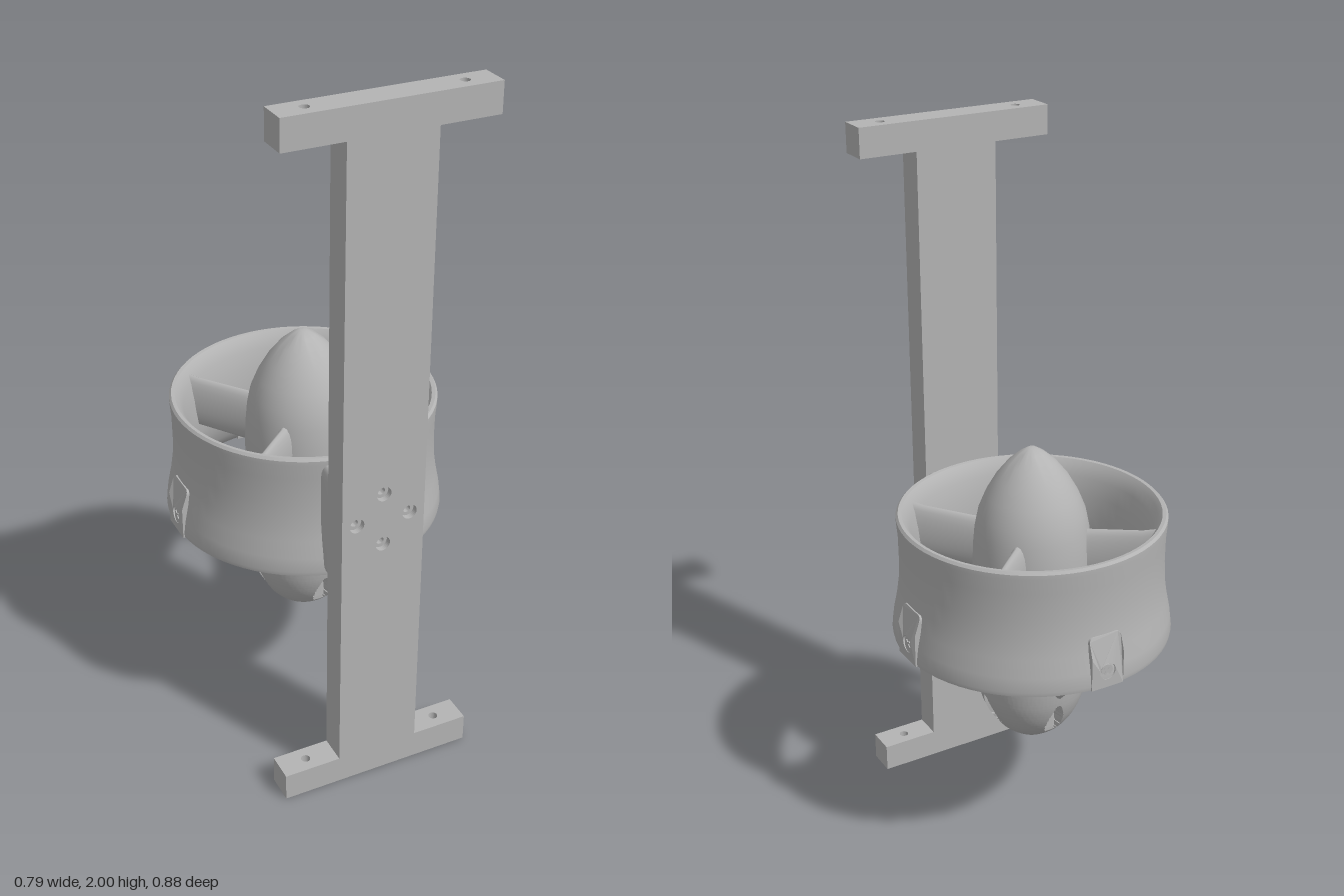
import * as THREE from 'three';
import { toCreasedNormals } from 'three/addons/utils/BufferGeometryUtils.js';

const AXIS_Z = -0.045; // thruster axis position

const metal = new THREE.MeshStandardMaterial({ color: 0xb4b4b4 });
metal.name = 'grey metal';

function add(parent, name, geometry) {
  const mesh = new THREE.Mesh(geometry, metal);
  mesh.name = name;
  parent.add(mesh);
  return mesh;
}

function circleHole(shape, x, y, r) {
  const hole = new THREE.Path();
  hole.absarc(x, y, r, 0, Math.PI * 2, true);
  shape.holes.push(hole);
}

function rectShape(x0, y0, x1, y1) {
  return new THREE.Shape([[x0, y0], [x1, y0], [x1, y1], [x0, y1]].map(p => new THREE.Vector2(...p)));
}

function extrude(shape, depth) {
  return new THREE.ExtrudeGeometry(shape, { depth, bevelEnabled: false, curveSegments: 16 });
}

function lathe(points, segments, crease = 0.6) {
  const g = new THREE.LatheGeometry(points.map(p => new THREE.Vector2(...p)), segments);
  return toCreasedNormals(g, crease);
}

// Streamlined bar: elliptical sections lofted outward from the hub.
// Each section: centre (r, y), upward chord direction, half chord, half thickness.
function foil(dir, sections) {
  const n = 20, pos = [], idx = [];
  for (const [r, y, chord, thick] of sections) {
    for (let i = 0; i < n; i++) {
      const a = (i / n) * Math.PI * 2;
      const c = Math.cos(a) * chord;
      pos.push(r + dir[0] * c, y + dir[1] * c, Math.sin(a) * thick);
    }
  }
  for (let k = 0; k < sections.length - 1; k++) {
    for (let i = 0; i < n; i++) {
      const a = k * n + i, b = k * n + (i + 1) % n;
      idx.push(a, b, a + n, b, b + n, a + n);
    }
  }
  const g = new THREE.BufferGeometry();
  g.setAttribute('position', new THREE.Float32BufferAttribute(pos, 3));
  g.setIndex(idx);
  g.computeVertexNormals();
  return g;
}

function makeBracket() {
  const bracket = new THREE.Group();
  bracket.name = 'mountingBracket';
  const bolts = [[0, 0.94], [0, 0.785], [0.077, 0.863], [-0.077, 0.863]];

  // upright plate with four bolt holes
  const web = rectShape(-0.12, 0.082, 0.12, 1.918);
  bolts.forEach(([x, y]) => circleHole(web, x, y, 0.021));
  add(bracket, 'uprightPlate', extrude(web, 0.082)).position.z = 0.355;

  // countersunk bolt heads with sockets
  const head = lathe([[0.011, 0], [0.021, 0], [0.021, 0.055], [0.011, 0.055], [0.011, 0]], 20);
  const socket = new THREE.CylinderGeometry(0.011, 0.011, 0.03, 6);
  for (const [x, y] of bolts) {
    for (const [name, g, z] of [['boltHead', head, 0.365], ['boltSocket', socket, 0.39]]) {
      const m = add(bracket, name, g);
      m.rotation.x = Math.PI / 2;
      m.position.set(x, y, z);
    }
  }

  // end bars with two through holes each
  const bar = rectShape(-0.285, -0.437, 0.285, -0.355);
  [-0.205, 0.205].forEach(x => circleHole(bar, x, -0.395, 0.013));
  const barGeo = extrude(bar, 0.082);
  barGeo.rotateX(-Math.PI / 2);
  add(bracket, 'bottomBar', barGeo);
  add(bracket, 'topBar', barGeo).position.y = 1.918;
  return bracket;
}

// Rounded lower pod with four teardrop access pockets
function makePodGeometry() {
  const ctrl = [[0, 0.274], [0.022, 0.282], [0.058, 0.304], [0.098, 0.337], [0.128, 0.38], [0.148, 0.43], [0.158, 0.48], [0.163, 0.54], [0.164, 0.612]];
  const curve = new THREE.CatmullRomCurve3(ctrl.map(p => new THREE.Vector3(p[0], p[1], 0)));
  const profile = curve.getPoints(90).map(p => new THREE.Vector2(Math.max(p.x, 0), p.y));
  const g = new THREE.LatheGeometry(profile, 256);
  const p = g.attributes.position;
  for (let i = 0; i < p.count; i++) {
    const x = p.getX(i), y = p.getY(i), z = p.getZ(i), r = Math.hypot(x, z);
    const side = Math.min(Math.abs(x), Math.abs(z)), t = (y - 0.335) / 0.115;
    if (t > 0 && t < 1 && side < 0.026 * Math.sqrt(Math.sin(Math.PI * t)) * (1.2 - 0.6 * t)) {
      const s = Math.min(r, 0.1) / r;
      p.setXYZ(i, x * s, y, z * s);
    }
  }
  return toCreasedNormals(g, 0.5);
}

// Outer tab with a screw hole, its upper end sloping back into the duct
function makeTabGeometry() {
  const shape = new THREE.Shape();
  shape.moveTo(-0.049, 0.647).lineTo(0.049, 0.647).lineTo(0.049, 0.74).lineTo(0.049, 0.78);
  shape.quadraticCurveTo(0.049, 0.797, 0.035, 0.797);
  shape.lineTo(-0.035, 0.797).quadraticCurveTo(-0.049, 0.797, -0.049, 0.78).lineTo(-0.049, 0.74);
  circleHole(shape, 0, 0.695, 0.024);
  const g = extrude(shape, 0.029);
  const p = g.attributes.position;
  for (let i = 0; i < p.count; i++) {
    if (p.getZ(i) > 0.02) p.setZ(i, 0.029 - Math.max(0, p.getY(i) - 0.74) * 0.33);
  }
  g.rotateY(Math.PI / 2);
  g.computeVertexNormals();
  return g;
}

function makeThruster() {
  const thruster = new THREE.Group();
  thruster.name = 'thruster';
  thruster.position.z = AXIS_Z;

  // duct with flared inlet and outlet
  add(thruster, 'duct', lathe([
    [0.381, 0.645], [0.391, 0.648], [0.393, 0.66], [0.388, 0.7], [0.378, 0.75], [0.371, 0.8], [0.368, 0.86],
    [0.369, 0.94], [0.373, 0.985], [0.373, 0.998], [0.367, 1.005], [0.357, 1.004], [0.346, 0.99], [0.334, 0.96],
    [0.324, 0.91], [0.318, 0.85], [0.318, 0.79], [0.328, 0.74], [0.347, 0.69], [0.372, 0.65], [0.381, 0.645],
  ], 72));

  // hub: lower pod and pointed nose, with a fine joint between them
  add(thruster, 'hubPod', makePodGeometry());
  add(thruster, 'hubNose', lathe([[0.162, 0.611], [0.165, 0.614], [0.165, 0.84], [0.163, 0.9], [0.158, 0.955], [0.148, 1.005],
    [0.128, 1.055], [0.1, 1.104], [0.066, 1.147], [0.034, 1.175], [0.01, 1.19], [0, 1.191]], 48));

  // upright guide vanes between the hub and the inlet
  const vane = foil([0, 1], [
    [0.13, 0.88, 0.085, 0.031], [0.168, 0.885, 0.08, 0.024], [0.31, 0.9, 0.078, 0.017], [0.352, 0.908, 0.08, 0.02],
  ]);
  // slanted struts from the pod up to the outlet
  const strut = foil([-Math.SQRT1_2, Math.SQRT1_2], [
    [0.11, 0.495, 0.047, 0.028], [0.17, 0.555, 0.043, 0.025], [0.3, 0.685, 0.038, 0.018], [0.345, 0.73, 0.03, 0.018],
  ]);

  // tab screw with a cross on its head
  const tab = makeTabGeometry();
  const screw = new THREE.CylinderGeometry(0.018, 0.02, 0.03, 20);
  screw.rotateZ(-Math.PI / 2);
  const cross = new THREE.BoxGeometry(0.004, 0.026, 0.006);

  for (let i = 0; i < 4; i++) {
    const arm = new THREE.Group();
    arm.name = 'arm' + (i + 1);
    arm.rotation.y = i * Math.PI / 2;
    thruster.add(arm);
    add(arm, 'strut', strut);
    add(arm, 'guideVane', vane).rotation.y = Math.PI / 4;
    if (i === 3) continue; // the front arm meets the mounting pad instead
    add(arm, 'strutTab', tab).position.x = 0.364;
    add(arm, 'tabScrew', screw).position.set(0.374, 0.695, 0);
    for (const a of [Math.PI / 4, -Math.PI / 4]) {
      const bar = add(arm, 'screwCross', cross);
      bar.position.set(0.39, 0.695, 0);
      bar.rotation.x = a;
    }
  }

  // rounded mounting pad, curved at the back to sit inside the duct wall
  const padShape = new THREE.Shape();
  padShape.moveTo(0.098, -0.382).lineTo(-0.098, -0.382);
  padShape.absarc(0, 0, 0.367, -Math.PI / 2 - 0.27, -Math.PI / 2 + 0.27, false);
  const pad = new THREE.ExtrudeGeometry(padShape, {
    depth: 0.27, bevelEnabled: true, bevelSize: 0.02, bevelThickness: 0.033, bevelSegments: 5, curveSegments: 16 });
  pad.rotateX(-Math.PI / 2);
  add(thruster, 'mountingPad', toCreasedNormals(pad, 0.6)).position.y = 0.683;
  return thruster;
}

export function createModel() {
  const model = new THREE.Group();
  model.name = 'ductedThrusterOnBracket';
  model.add(makeBracket(), makeThruster());
  return model;
}
